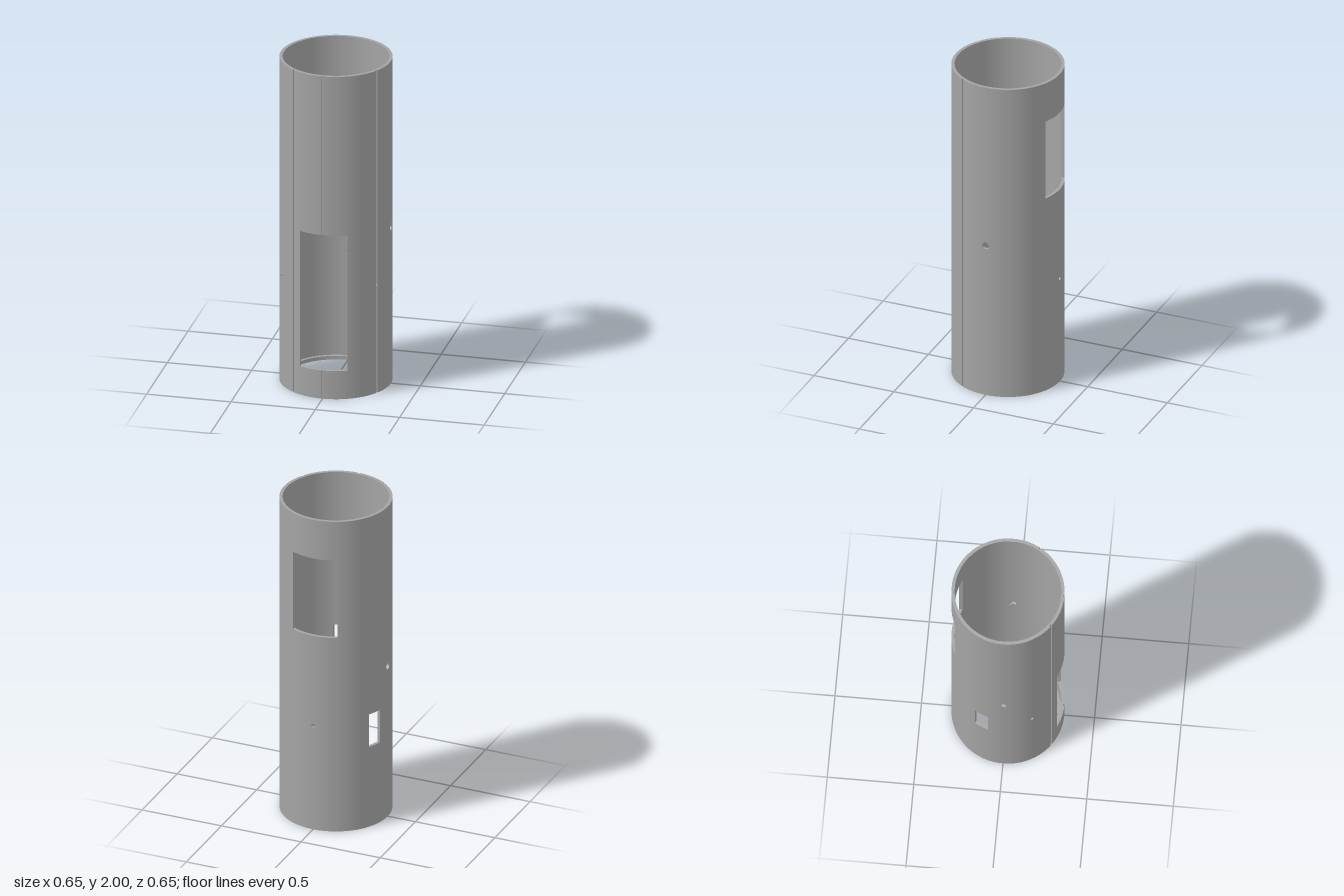
import * as THREE from 'three';

const RO = 0.326, RI = 0.307, RLIP = 0.289; // outer wall, bore, bottom lip
const HEIGHT = 2, LIP = 0.022, GROOVE = 0.008;
const rad = THREE.MathUtils.degToRad;

// a: angle from the front towards +x, w: half width of a straight cut
const windows = [
  { a: 0, w: 0.14, y0: 0.175, y1: 1.015 },
  { a: 180, w: 0.14, y0: 1.25, y1: 1.75 },
  { a: 247, w: 0.043, y0: 0.515, y1: 0.725 },
];
const grooves = [0, 60, 325].map((a) => ({ a, w: 0.0055 }));
const holes = [
  { a: 90, w: 0.025, y: 0.97, rx: 0.021, ry: 0.021 },
  { a: 270, w: 0.025, y: 0.97, rx: 0.021, ry: 0.021 },
  { a: 180, w: 0.015, y: 0.67, rx: 0.012, ry: 0.012 },
  { a: 300, w: 0.015, y: 0.67, rx: 0.012, ry: 0.012 },
  { a: 60, w: 0.0055, y: 0.67, rx: 0.005, ry: 0.012 },
].map((h) => ({ ...h, y0: h.y - Math.max(h.w, 0.015), y1: h.y + Math.max(h.w, 0.015) }));

const angleAt = (b, r) => rad(b.a) + Math.asin(b.w / r);
const place = (phi, r, y) => new THREE.Vector3(r * Math.sin(phi), y, r * Math.cos(phi));
const apart = (p, q) => Math.abs(Math.atan2(Math.sin(p - q), Math.cos(p - q)));
const within = (phi, f) => apart(phi, rad(f.a)) < Math.asin(f.w / RO);

// Angular grid: even steps plus the exact edges of every cut
function angularBreaks() {
  const cuts = new Map();
  for (const f of [...windows, ...grooves, ...holes])
    for (const s of [-1, 1]) cuts.set(`${f.a},${s * f.w}`, { a: f.a, w: s * f.w });
  const edges = [...cuts.values()];
  const breaks = [...edges];
  for (let d = 0; d < 360; d += 3) {
    const p = rad(d);
    const inCut = [...grooves, ...holes].some((f) => within(p, f));
    const nearEdge = edges.some((e) => {
      const a = angleAt(e, RO), b = angleAt(e, RLIP);
      return apart(p, (a + b) / 2) < Math.abs(a - b) / 2 + rad(0.7);
    });
    if (!inCut && !nearEdge) breaks.push({ a: d, w: 0 });
  }
  const turn = (b) => (angleAt(b, RO) + 2 * Math.PI) % (2 * Math.PI);
  return breaks.sort((p, q) => turn(p) - turn(q));
}

function tubeGeometry() {
  const pos = [], nor = [];
  // Quad with flat normals, or radial ones when side is +1 / -1
  function quad(pts, side = 0, flip = false) {
    const [a, b, c, d] = flip ? [...pts].reverse() : pts;
    const flat = c.clone().sub(a).cross(d.clone().sub(b)).normalize();
    for (const p of [a, b, c, a, c, d]) {
      pos.push(p.x, p.y, p.z);
      const n = side ? new THREE.Vector3(p.x, 0, p.z).normalize().multiplyScalar(side) : flat;
      nor.push(n.x, n.y, n.z);
    }
  }

  const breaks = angularBreaks();
  const n = breaks.length;
  const rows = [...new Set([0, LIP, HEIGHT, ...[...windows, ...holes].flatMap((f) => [f.y0, f.y1])])]
    .sort((a, b) => a - b);
  const mids = breaks.map((b, i) => {
    const p = angleAt(b, RO), q = angleAt(breaks[(i + 1) % n], RO);
    return Math.atan2(Math.sin(p) + Math.sin(q), Math.cos(p) + Math.cos(q));
  });
  const inRow = (y, f) => y > f.y0 && y < f.y1;

  // Radial span of solid material in a grid cell, or null
  function span(i, j) {
    if (j < 0 || j >= rows.length - 1) return null;
    const phi = mids[(i + n) % n], y = (rows[j] + rows[j + 1]) / 2;
    if (windows.some((f) => within(phi, f) && inRow(y, f))) return null;
    const cut = grooves.some((f) => within(phi, f));
    return [y < LIP ? RLIP : RI, cut ? RO - GROOVE : RO];
  }
  // Parts of span A that are not covered by span B
  function exposed(A, B) {
    if (!A) return [];
    if (!B) return [A];
    return [[A[0], Math.min(A[1], B[0])], [Math.max(A[0], B[1]), A[1]]].filter(([p, q]) => q - p > 1e-6);
  }

  // Cell pierced by a round hole: two faces and the bore between them
  function pierced(h, [r0, r1]) {
    const N = 32, hh = (h.y1 - h.y0) / 2;
    const at = (k, r, rim) => {
      const t = (k / N) * Math.PI * 2, c = Math.cos(t), s = Math.sin(t);
      const m = Math.max(Math.abs(c), Math.abs(s));
      const u = rim ? (h.w * c) / m : h.rx * c, v = rim ? (hh * s) / m : h.ry * s;
      return place(rad(h.a) + Math.asin(u / r), r, h.y + v);
    };
    for (let k = 0; k < N; k++) {
      for (const [r, side] of [[r1, 1], [r0, -1]])
        quad([at(k, r, false), at(k, r, true), at(k + 1, r, true), at(k + 1, r, false)], side, side < 0);
      quad([at(k, r1, false), at(k + 1, r1, false), at(k + 1, r0, false), at(k, r0, false)]);
    }
  }

  for (let i = 0; i < n; i++) {
    const b0 = breaks[i], b1 = breaks[(i + 1) % n];
    const at = (b, r, y) => place(angleAt(b, r), r, y);
    for (let j = 0; j < rows.length; j++) {
      const y0 = rows[j], y1 = rows[j + 1], cell = span(i, j);
      // Outer and inner faces
      if (cell) {
        const hole = holes.find((f) => within(mids[i], f) && inRow((y0 + y1) / 2, f));
        if (hole) pierced(hole, cell);
        else for (const [r, side] of [[cell[1], 1], [cell[0], -1]])
          quad([at(b0, r, y0), at(b1, r, y0), at(b1, r, y1), at(b0, r, y1)], side, side < 0);
      }
      // Upright edges of windows and grooves
      const left = span(i - 1, j), below = span(i, j - 1);
      for (const [A, B, flip] of [[left, cell, false], [cell, left, true]])
        for (const [p, q] of exposed(A, B))
          quad([at(b0, q, y0), at(b0, p, y0), at(b0, p, y1), at(b0, q, y1)], 0, flip);
      // Level edges: rims, lip ledge, sills and lintels
      for (const [A, B, flip] of [[below, cell, false], [cell, below, true]])
        for (const [p, q] of exposed(A, B))
          quad([at(b0, q, y0), at(b1, q, y0), at(b1, p, y0), at(b0, p, y0)], 0, flip);
    }
  }
  const g = new THREE.BufferGeometry();
  g.setAttribute('position', new THREE.Float32BufferAttribute(pos, 3));
  g.setAttribute('normal', new THREE.Float32BufferAttribute(nor, 3));
  return g;
}

export function createModel() {
  const grey = new THREE.MeshStandardMaterial({ color: 0xa4a4a4 });
  grey.name = 'grey';
  const group = new THREE.Group();
  group.name = 'slottedTube';
  const tube = new THREE.Mesh(tubeGeometry(), grey);
  tube.name = 'tubeBody';
  group.add(tube);
  return group;
}
